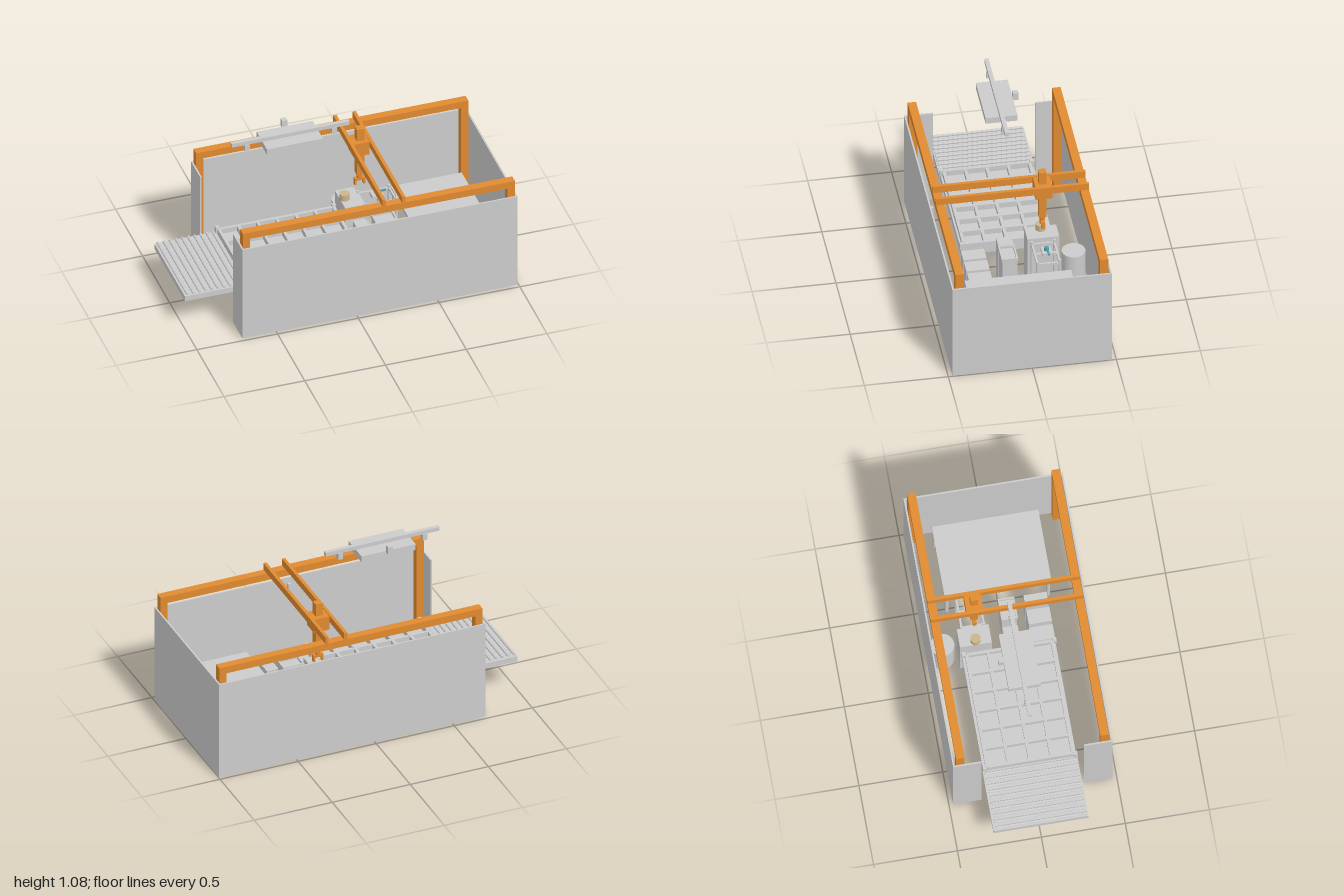
import * as THREE from 'three';

const paint = (color) => new THREE.MeshStandardMaterial({ color, flatShading: true });

export function createModel() {
  const model = new THREE.Group();
  const grey = paint(0xcccccc), orange = paint(0xe08a30);
  const tan = paint(0xc9b58a), teal = paint(0x4f9fb0);

  const group = (name) => {
    const g = new THREE.Group();
    g.name = name;
    model.add(g);
    return g;
  };
  // Box given by its extents along x, y and z
  const box = (parent, name, [x0, x1], [y0, y1], [z0, z1], mat = grey) => {
    const m = new THREE.Mesh(new THREE.BoxGeometry(x1 - x0, y1 - y0, z1 - z0), mat);
    m.position.set((x0 + x1) / 2, (y0 + y1) / 2, (z0 + z1) / 2);
    m.name = name;
    parent.add(m);
    return m;
  };
  // Upright cylinder from y0 to y1
  const post = (parent, name, x, z, r, y0, y1, mat = grey, sides = 16) => {
    const m = new THREE.Mesh(new THREE.CylinderGeometry(r, r, y1 - y0, sides), mat);
    m.position.set(x, (y0 + y1) / 2, z);
    m.name = name;
    parent.add(m);
    return m;
  };
  const legs = (parent, xs, zs, r, top) => {
    for (const x of xs) for (const z of zs) post(parent, 'leg', x, z, r, 0, top);
  };

  // Enclosure: open top and bottom, doorway on the conveyor side
  const walls = group('enclosure');
  const H = [0, 0.635], T = 0.01;
  box(walls, 'frontWall', [-0.71, 0.995], H, [0.475 - T, 0.475]);
  box(walls, 'backWall', [-0.71, 0.995], H, [-0.475, -0.475 + T]);
  box(walls, 'endWall', [0.995 - T, 0.995], H, [-0.465, 0.465]);
  box(walls, 'doorWallFront', [-0.71, -0.71 + T], H, [0.305, 0.465]);
  box(walls, 'doorWallBack', [-0.71, -0.71 + T], H, [-0.465, -0.305]);
  box(walls, 'wallSwitch', [0.13, 0.15], [0.56, 0.6], [0.445, 0.465]);

  // Gantry: posts, long rails, twin cross beams, carriage and lifting column
  const gantry = group('gantry');
  for (const s of [-1, 1]) {
    const z = s < 0 ? [-0.455, -0.405] : [0.405, 0.455];
    for (const x of [-0.7, 0.94]) box(gantry, 'gantryPost', [x, x + 0.045], [0, 0.69], z, orange);
    box(gantry, 'gantryRail', [-0.7, 0.985], [0.69, 0.735], z, orange);
  }
  for (const x of [0.165, 0.285])
    box(gantry, 'crossBeam', [x, x + 0.02], [0.735, 0.78], [-0.455, 0.457], orange);
  box(gantry, 'carriage', [0.185, 0.285], [0.685, 0.775], [-0.24, -0.14], orange);
  box(gantry, 'liftColumn', [0.215, 0.26], [0.53, 0.857], [-0.21, -0.165], orange);
  post(gantry, 'wrist', 0.237, -0.188, 0.016, 0.5, 0.53, orange);
  box(gantry, 'gripperPalm', [0.205, 0.27], [0.485, 0.5], [-0.2, -0.175], orange);
  for (const x of [0.205, 0.258])
    box(gantry, 'gripperFinger', [x, x + 0.012], [0.455, 0.485], [-0.198, -0.177], orange);

  // Infeed conveyor with rollers
  const conveyor = group('conveyor');
  box(conveyor, 'conveyorBed', [-1, -0.62], [0.2, 0.235], [-0.285, 0.28]);
  for (let i = 0; i < 10; i++) {
    const roller = post(conveyor, 'roller', -0.983 + i * 0.038, 0, 0.008, -0.275, 0.275, grey, 12);
    roller.rotation.x = Math.PI / 2;
    roller.position.y = 0.245;
  }

  // Work table carrying a grid of trays
  const table = group('gridTable');
  box(table, 'tableTop', [-0.62, 0.11], [0.2, 0.24], [-0.28, 0.275]);
  legs(table, [-0.6, 0.09], [-0.26, 0.26], 0.012, 0.2);
  const X0 = -0.61, X1 = 0.1, Z0 = -0.255, Z1 = 0.255, bar = 0.009;
  for (let i = 0; i <= 6; i++) {
    const x = X0 + (X1 - X0) * i / 6;
    box(table, 'gridBar', [x - bar, x + bar], [0.24, 0.275], [Z0, Z1]);
  }
  for (let j = 0; j <= 4; j++) {
    const z = Z0 + (Z1 - Z0) * j / 4;
    box(table, 'gridCrossBar', [X0, X1], [0.24, 0.273], [z - bar, z + bar]);
  }
  for (const x of [-0.615, 0.105]) for (const z of [-0.27, 0.27])
    box(table, 'cornerClamp', [x - 0.012, x + 0.012], [0.24, 0.28], [z - 0.012, z + 0.012]);

  // Large side table
  const bench = group('sideTable');
  box(bench, 'sideTableTop', [0.475, 0.915], [0.265, 0.29], [-0.32, 0.315]);
  legs(bench, [0.49, 0.9], [-0.305, 0.3], 0.012, 0.265);

  // Floor-standing bins, cabinets and drum
  const bins = group('bins');
  for (const [x0, x1] of [[0.125, 0.215], [0.235, 0.325], [0.345, 0.42]])
    box(bins, 'bin', [x0, x1], [0, 0.24], [0.14, 0.278]);
  box(bins, 'smallCabinet', [0.14, 0.215], [0, 0.32], [-0.02, 0.07]);
  box(bins, 'cabinet', [0.255, 0.38], [0, 0.33], [-0.015, 0.073]);
  for (const z of [-0.02, 0.068])
    box(bins, 'cabinetRim', [0.25, 0.385], [0.325, 0.345], [z, z + 0.01]);
  for (const x of [0.25, 0.375])
    box(bins, 'cabinetRim', [x, x + 0.01], [0.325, 0.345], [-0.01, 0.068]);
  post(bins, 'drum', 0.203, -0.38, 0.07, 0, 0.22, grey, 32);

  // Pedestal with a round nest
  const pedestal = group('pedestal');
  box(pedestal, 'pedestalBody', [0.12, 0.235], [0, 0.36], [-0.29, -0.1]);
  post(pedestal, 'nest', 0.147, -0.193, 0.03, 0.36, 0.4, tan, 24);

  // Four-legged tool stand with a small fixture
  const stand = group('toolStand');
  const sx = [0.25, 0.445], sz = [-0.258, -0.125];
  legs(stand, sx, sz, 0.009, 0.35);
  for (const z of sz) box(stand, 'standRail', sx, [0.32, 0.335], [z - 0.006, z + 0.006]);
  for (const x of sx) box(stand, 'standEnd', [x - 0.006, x + 0.006], [0.32, 0.335], sz);
  box(stand, 'standCrossBar', [0.34, 0.355], [0.32, 0.335], sz);
  box(stand, 'fixtureBlock', [0.312, 0.382], [0.335, 0.355], [-0.225, -0.165]);
  post(stand, 'fixturePin', 0.347, -0.195, 0.014, 0.355, 0.375, teal, 16);
  box(stand, 'fixtureArm', [0.347, 0.405], [0.358, 0.368], [-0.205, -0.195], teal);

  // Overhead lifter hanging above the table
  const lifter = group('overheadLifter');
  box(lifter, 'lifterBar', [-0.62, 0.11], [1.04, 1.065], [-0.0125, 0.0125]);
  box(lifter, 'lifterPlate', [-0.43, -0.083], [1.0, 1.04], [-0.095, 0.095]);
  for (const x of [-0.54, 0])
    box(lifter, 'lifterFoot', [x, x + 0.03], [1.0, 1.04], [-0.017, 0.017]);
  box(lifter, 'lifterSensor', [-0.272, -0.24], [1.03, 1.08], [-0.127, -0.095]);

  return model;
}
